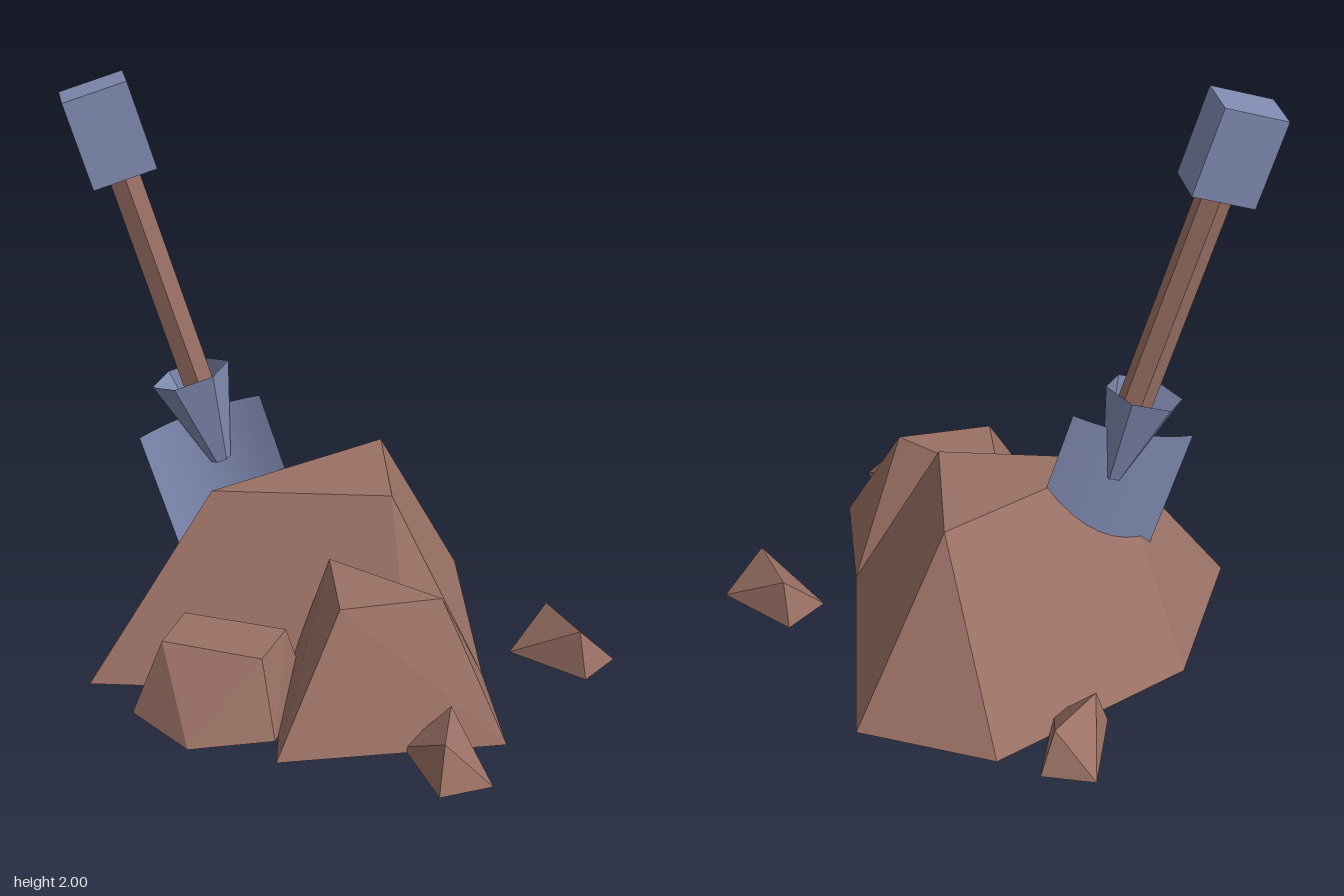
import * as THREE from 'three';
import { ConvexGeometry } from 'three/addons/geometries/ConvexGeometry.js';

const soil = new THREE.MeshStandardMaterial({ color: 0x9b7165 });
soil.name = 'brown';
const steel = new THREE.MeshStandardMaterial({ color: 0x808bb2, side: THREE.DoubleSide });
steel.name = 'steelBlue';

function add(parent, name, geometry, material) {
  const mesh = new THREE.Mesh(geometry, material);
  mesh.name = name;
  parent.add(mesh);
  return mesh;
}

// Faceted heap: base outline on the ground, smaller outline at the given height
function heap(base, top, height) {
  return new ConvexGeometry([
    ...base.map(([x, z]) => new THREE.Vector3(x, 0, z)),
    ...top.map(([x, z]) => new THREE.Vector3(x, height, z)),
  ]);
}

// Curved blade, edges bowed forward, narrowing to a point at the bottom
function bladeGeometry() {
  const length = 0.74;
  const g = new THREE.PlaneGeometry(0.43, length, 8, 6);
  const p = g.attributes.position;
  for (let i = 0; i < p.count; i++) {
    const down = 0.5 - p.getY(i) / length;
    const taper = down > 0.7 ? 1 - ((down - 0.7) / 0.3) * 0.7 : 1;
    const x = p.getX(i) * taper;
    p.setXYZ(i, x, -down * length, 1.1 * x * x - 0.03);
  }
  g.computeVertexNormals();
  return g;
}

export function createModel() {
  const model = new THREE.Group();
  model.name = 'shovelInDirtPile';

  // Dirt heaps
  add(model, 'mainMound', heap(
    [[-0.28, -0.76], [0.2, -0.76], [0.5, 0.04], [0.3, 0.24], [-0.75, 0.49], [-0.75, -0.13]],
    [[-0.42, 0.16], [0.17, 0.02], [0, -0.43]], 0.615), soil);
  add(model, 'sideMound', heap(
    [[0.01, 0.77], [0.68, 0.45], [0.5, 0.04], [0, 0.05], [-0.13, 0.3]],
    [[0, 0.18], [0.14, 0.51], [0.43, 0.34]], 0.432), soil);
  add(model, 'frontMound', heap(
    [[-0.54, 0.62], [-0.285, 0.78], [-0.035, 0.65], [-0.04, 0.3], [-0.55, 0.35]],
    [[-0.45, 0.36], [-0.09, 0.37], [-0.1, 0.58], [-0.45, 0.565]], 0.252), soil);

  // Loose clods: rectangular base under a skewed ridge
  const clod = heap(
    [[-0.155, -0.09], [0.155, -0.09], [0.155, 0.09], [-0.155, 0.09]],
    [[-0.103, -0.053], [0.103, 0.053]], 0.15);
  [[-0.5, -0.62, 82], [0.73, -0.17, 21], [0.53, 0.63, 53]].forEach(([x, z, degrees], i) => {
    const mesh = add(model, 'clod' + (i + 1), clod, soil);
    mesh.position.set(x, 0, z);
    mesh.rotation.y = -THREE.MathUtils.degToRad(degrees);
  });

  // Shovel, built upright about the centre of its grip and then leaned
  const shovel = new THREE.Group();
  shovel.name = 'shovel';
  const up = new THREE.Vector3(-0.265, 0.955, 0.115).normalize();
  const front = new THREE.Vector3(0.47, 0, 0.88);
  const side = new THREE.Vector3().crossVectors(up, front).normalize();
  front.crossVectors(side, up);
  shovel.quaternion.setFromRotationMatrix(new THREE.Matrix4().makeBasis(side, up, front));
  shovel.position.set(-0.755, 1.825, 0.13);
  model.add(shovel);

  add(shovel, 'grip', new THREE.BoxGeometry(0.215, 0.3, 0.17), steel);

  const handle = new THREE.CylinderGeometry(0.058, 0.058, 0.85, 6).toNonIndexed();
  handle.computeVertexNormals();
  add(shovel, 'handle', handle, soil).position.y = -0.52;

  const socketShape = new THREE.CylinderGeometry(0.135, 0.035, 0.33, 6, 1, true).toNonIndexed();
  socketShape.rotateY(Math.PI / 2);
  socketShape.scale(1, 1, 0.8);
  socketShape.computeVertexNormals();
  add(shovel, 'socket', socketShape, steel).position.set(-0.015, -1.05, -0.01);

  add(shovel, 'blade', bladeGeometry(), steel).position.set(-0.035, -1.03, 0);

  return model;
}
